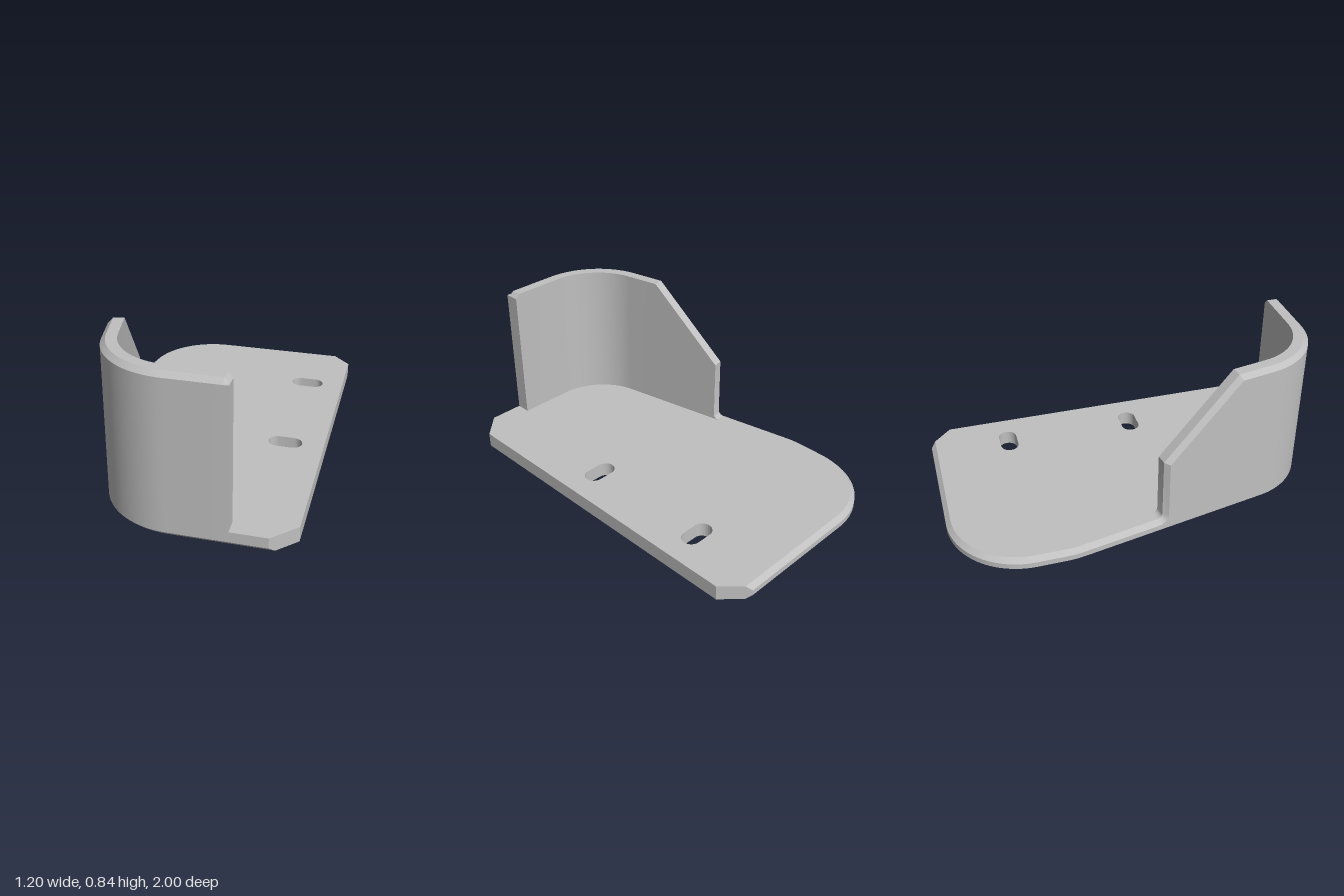
import * as THREE from 'three';
import { toCreasedNormals } from 'three/addons/utils/BufferGeometryUtils.js';

const R = 0.4;       // corner radius of the plate outline
const T = 0.08;      // plate and wall thickness
const C = 0.025;     // chamfer
const TOP = 0.84;    // wall height
const SLANT = Math.atan2(0.2, 1.04);
const A = [-Math.PI / 2, -Math.PI, -Math.PI - SLANT, -1.5 * Math.PI];

// Point on the outline: a centre pushed out by the radius, inset by d
const point = (x, z, angle, d, y, cut) => new THREE.Vector3(
  x + (R - d) * Math.cos(angle) + (cut ? d : 0), y, z + (R - d) * Math.sin(angle));

// Cross-section; f = [x, z, height] of the full edge, o = the same for the chamfered outer edge
function section(angle, f, o, cut = false) {
  return [
    point(o[0], o[1], angle, C, 0, cut),
    point(o[0], o[1], angle, 0, C, cut),
    point(o[0], o[1], angle, 0, o[2], cut),
    point(f[0], f[1], angle, C, f[2], cut),
    point(f[0], f[1], angle, T, f[2], cut),
    point(f[0], f[1], angle, T, T, cut),
  ];
}

function buildSections() {
  const list = [];
  const add = (angle, x, z, h, drop = C, cut = false) =>
    list.push(section(angle, [x, z, h], [x, z, h - drop], cut));
  const arc = (x, z, a0, a1, n, h) => {
    for (let i = 0; i <= n; i++) add(a0 + (a1 - a0) * i / n, x, z, h);
  };
  // Position at length l along the slanted side
  const along = (l, y) => [-0.2 + Math.sin(SLANT) * l, -0.44 + Math.cos(SLANT) * l, y];
  const slanted = (l, y, ol, oy) => list.push(section(A[2], along(l, y), along(ol, oy)));

  // Low rim: back edge, rear corner, left side
  add(A[0], 0.48, -0.6, T, C, true);
  arc(-0.2, -0.6, A[0], A[1], 20, T);
  arc(-0.2, -0.44, A[1], A[2], 4, T);

  // Fillet up to the wall, upright edge, diagonal edge
  const l0 = 0.46, l1 = 0.868, r = 0.03;
  for (let i = 0; i <= 6; i++) {
    const a = i / 6 * Math.PI / 2, s = Math.sin(a), c = Math.cos(a);
    slanted(l0 - r + r * s, T + r - r * c, l0 - r + (r + C) * s, T + r - (r + C) * c);
  }
  slanted(l0, 0.44, l0 + C, 0.43);
  slanted(l1, TOP, l1 + 0.01, TOP - C);

  // Front corner and front of the wall, then the plain plate edge
  arc(0, 0.6, A[2], A[3], 20, TOP);
  add(A[3], 0.27, 0.6, TOP);
  add(A[3], 0.295, 0.6, TOP - C, 0);
  add(A[3], 0.295, 0.6, T, 0);
  add(A[3], 0.48, 0.6, T, 0, true);
  return list;
}

// Skin the cross-sections and close both ends
function loft(sections) {
  const pos = [];
  const tri = (a, b, c) => {
    const n = b.clone().sub(a).cross(c.clone().sub(a));
    if (n.length() > 1e-9) for (const p of [a, b, c]) pos.push(p.x, p.y, p.z);
  };
  for (let i = 0; i < sections.length - 1; i++) {
    const p = sections[i], q = sections[i + 1];
    for (let j = 0; j < p.length - 1; j++) {
      tri(p[j], q[j], q[j + 1]);
      tri(p[j], q[j + 1], p[j + 1]);
    }
  }
  const s = sections[0], e = sections[sections.length - 1];
  for (let k = 1; k < 3; k++) {
    tri(s[0], s[k], s[k + 1]);
    tri(e[0], e[k + 1], e[k]);
  }
  const geo = new THREE.BufferGeometry();
  geo.setAttribute('position', new THREE.Float32BufferAttribute(pos, 3));
  return toCreasedNormals(geo, 0.5);
}

// Flat plate inside the rim, with two slots
function plate(sections) {
  const pts = [];
  for (const s of sections) {
    const p = new THREE.Vector2(s[0].x, -s[0].z);
    if (!pts.length || p.distanceTo(pts[pts.length - 1]) > 1e-4) pts.push(p);
  }
  pts.push(new THREE.Vector2(0.6, -0.88), new THREE.Vector2(0.6, 0.88));
  const shape = new THREE.Shape(pts);
  for (const z of [-0.565, 0.155]) {
    const slot = new THREE.Path();
    slot.absarc(0.435, -z, 0.05, -Math.PI / 2, Math.PI / 2, false);
    slot.absarc(0.355, -z, 0.05, Math.PI / 2, Math.PI * 1.5, false);
    slot.closePath();
    shape.holes.push(slot);
  }
  const geo = new THREE.ExtrudeGeometry(shape, { depth: T, bevelEnabled: false, curveSegments: 16 });
  geo.rotateX(-Math.PI / 2);
  return toCreasedNormals(geo, 0.5);
}

export function createModel() {
  const group = new THREE.Group();
  group.name = 'slottedBracket';
  const metal = new THREE.MeshStandardMaterial({ color: 0xc0c0c0 });
  metal.name = 'light grey metal';

  const sections = buildSections();
  const base = new THREE.Mesh(plate(sections), metal);
  base.name = 'basePlate';
  const wall = new THREE.Mesh(loft(sections), metal);
  wall.name = 'rimAndGuardWall';
  group.add(base, wall);
  return group;
}
